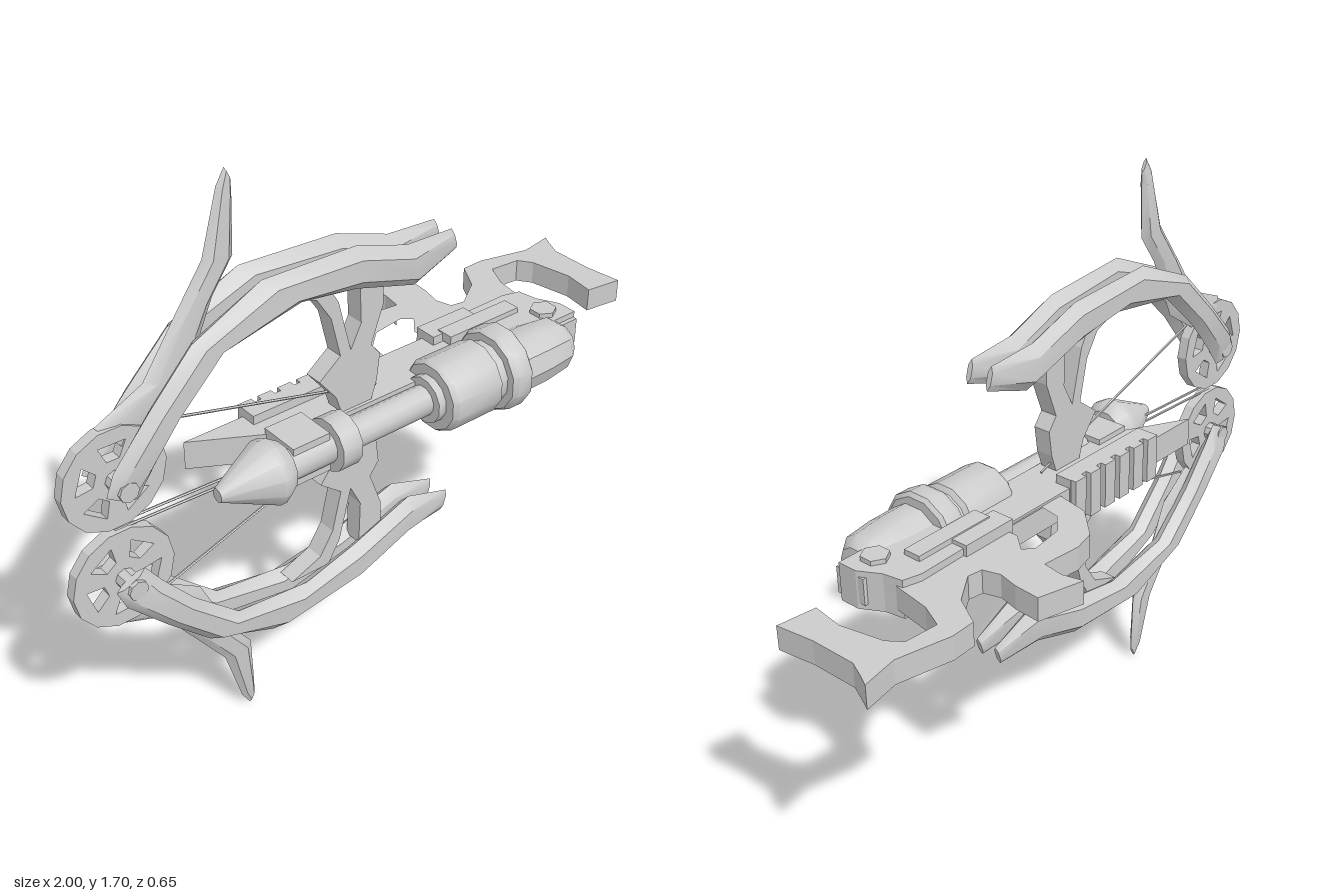
import * as THREE from 'three';
import { toCreasedNormals } from 'three/addons/utils/BufferGeometryUtils.js';

const MID = 0.852; // height of the mirror plane
const AXIS_Z = 0.195; // depth of the barrel axis
const mat = new THREE.MeshStandardMaterial({ color: 0xcccccc, flatShading: true });
const smooth = new THREE.MeshStandardMaterial({ color: 0xcccccc });

function add(parent, name, geo, material = mat) {
  const mesh = new THREE.Mesh(geo, material);
  mesh.name = name;
  parent.add(mesh);
  return mesh;
}

function outline(pts, flip = 1) {
  return new THREE.Shape(pts.map(([a, b]) => new THREE.Vector2(a, b * flip)));
}

// plate drawn in x/z, extruded evenly above and below the mirror plane
function flatPlate(pts, half, holes = []) {
  const shape = outline(pts, -1);
  shape.holes = holes.map((h) => outline(h, -1));
  const geo = new THREE.ExtrudeGeometry(shape, { depth: half * 2, bevelEnabled: false });
  return geo.rotateX(-Math.PI / 2).translate(0, MID - half, 0);
}

// plate drawn in x/y, extruded from z0 to z1
function uprightPlate(shape, z0, z1) {
  return new THREE.ExtrudeGeometry(shape, { depth: z1 - z0, bevelEnabled: false }).translate(0, 0, z0);
}

function box(x0, x1, half, z0, z1) {
  return new THREE.BoxGeometry(x1 - x0, half * 2, z1 - z0).translate((x0 + x1) / 2, MID, (z0 + z1) / 2);
}

// six-sided blade; each station is [outerX, outerY, innerX, innerY, z, halfDepth]
function blade(stations) {
  const pos = [], idx = [], n = 6;
  const ring = [[0, 0], [0.25, 1], [0.75, 1], [1, 0], [0.75, -1], [0.25, -1]];
  for (const [ox, oy, ix, iy, z, d] of stations)
    for (const [t, s] of ring) pos.push(ox + (ix - ox) * t, oy + (iy - oy) * t, z + s * d);
  const last = (stations.length - 1) * n;
  for (let i = 0; i < last; i += n)
    for (let j = 0; j < n; j++) {
      const a = i + j, b = i + ((j + 1) % n);
      idx.push(a, a + n, b, b, a + n, b + n);
    }
  for (let j = 1; j < n - 1; j++) idx.push(0, j, j + 1, last, last + j + 1, last + j);
  const geo = new THREE.BufferGeometry();
  geo.setAttribute('position', new THREE.Float32BufferAttribute(pos, 3));
  geo.setIndex(idx);
  return toCreasedNormals(geo, 0.6);
}

function rod(from, to, r, sides) {
  const a = new THREE.Vector3(...from), b = new THREE.Vector3(...to);
  const dir = b.clone().sub(a);
  const geo = new THREE.CylinderGeometry(r, r, dir.length(), sides);
  geo.applyQuaternion(new THREE.Quaternion().setFromUnitVectors(new THREE.Vector3(0, 1, 0), dir.normalize()));
  return geo.translate(...a.add(b).multiplyScalar(0.5).toArray());
}

function wheelShape(cx, cy) {
  const at = (r, a) => [cx + r * Math.cos(a), cy + r * Math.sin(a)];
  const rim = [];
  for (let i = 0; i < 14; i++) rim.push(at(0.148, (i / 14) * Math.PI * 2));
  const shape = outline(rim);
  for (let i = 0; i < 5; i++) {
    const a = (i / 5) * Math.PI * 2 + 0.3;
    shape.holes.push(outline([at(0.06, a - 0.3), at(0.11, a - 0.36), at(0.11, a + 0.36), at(0.06, a + 0.3)]));
  }
  return shape;
}

function buildBowHalf() {
  const half = new THREE.Group();

  // paired limbs, from the rear tip forward to the wheel
  const curve = [
    [0.225, 1.325, 0.245, 1.26, 0.008], [0.06, 1.335, 0.09, 1.205, 0.03],
    [-0.115, 1.395, -0.115, 1.27, 0.03], [-0.42, 1.41, -0.3, 1.305, 0.03],
    [-0.635, 1.315, -0.54, 1.27, 0.03], [-0.77, 1.18, -0.68, 1.14, 0.028],
    [-0.88, 1.06, -0.77, 1.03, 0.026], [-0.905, 1.0, -0.82, 0.96, 0.01],
  ];
  const limb = (zBack, zFront) => blade(curve.map(([ox, oy, ix, iy, d]) =>
    [ox, oy, ix, iy, zBack + (zFront - zBack) * (0.24 - ox) / 1.14, d]));
  add(half, 'backLimb', limb(0.078, 0.088), smooth);
  add(half, 'frontLimb', limb(0.148, 0.203), smooth);

  // swept fin between the limbs
  add(half, 'fin', blade([
    [-0.475, 1.702, -0.457, 1.665, 0.124, 0.005], [-0.5, 1.66, -0.457, 1.62, 0.124, 0.012],
    [-0.55, 1.485, -0.462, 1.47, 0.124, 0.018], [-0.64, 1.36, -0.527, 1.38, 0.126, 0.018],
    [-0.74, 1.22, -0.62, 1.18, 0.13, 0.018], [-0.885, 1.158, -0.8, 1.06, 0.138, 0.014],
  ]), smooth);

  // spoked wheel and its axle
  add(half, 'wheel', uprightPlate(wheelShape(-0.853, 1.005), 0.125, 0.157));
  add(half, 'wheelAxle', rod([-0.853, 1.005, 0.07], [-0.853, 1.005, 0.225], 0.028, 8));

  // forked bracket holding the limbs
  add(half, 'limbBracket', uprightPlate(outline([
    [-0.33, 1.31], [-0.2, 1.31], [-0.16, 1.24], [-0.12, 1.08], [-0.085, 1.15], [-0.09, 1.29],
    [-0.01, 1.27], [-0.01, 1.18], [-0.05, 1.07], [-0.02, 1.03], [-0.03, 0.95], [-0.06, 0.86],
    [-0.14, 0.86], [-0.17, 0.95], [-0.225, 1.02], [-0.155, 1.075], [-0.185, 1.2], [-0.23, 1.27],
  ]), 0.095, 0.15));

  // strings
  add(half, 'string', rod([-0.72, 1.11, 0.14], [0.0, 0.905, 0.11], 0.004, 5));
  add(half, 'frontString', rod([-0.86, 0.862, 0.141], [-0.45, 0.862, 0.16], 0.004, 5));
  return half;
}

export function createModel() {
  const model = new THREE.Group();
  model.name = 'bowWeapon';

  const upper = buildBowHalf();
  upper.name = 'upperBow';
  const lower = upper.clone();
  lower.name = 'lowerBow';
  lower.scale.y = -1;
  lower.position.y = 2 * MID;
  model.add(upper, lower);

  // turned barrel with cone, collars and drum: [radius, x]
  const profile = [
    [0, -0.59], [0.02, -0.59], [0.092, -0.44], [0.092, -0.42], [0.07, -0.385], [0.05, -0.385],
    [0.05, -0.24], [0.078, -0.24], [0.078, -0.175], [0.045, -0.175], [0.045, 0.1], [0.07, 0.1],
    [0.07, 0.125], [0.1, 0.125], [0.11, 0.14], [0.11, 0.3], [0.095, 0.31], [0.095, 0.335],
    [0.118, 0.335], [0.127, 0.35], [0.127, 0.4], [0.115, 0.41], [0, 0.41],
  ].map(([r, x]) => new THREE.Vector2(r, x));
  const barrel = new THREE.LatheGeometry(profile, 12, Math.PI / 12).rotateZ(-Math.PI / 2);
  add(model, 'barrel', toCreasedNormals(barrel.translate(0, MID, AXIS_Z), 0.6), smooth);
  add(model, 'barrelClamp', box(-0.37, -0.25, 0.06, 0.1, 0.225));

  // spine with a wedge nose
  add(model, 'spine', flatPlate([[-0.56, 0], [0.45, 0], [0.45, 0.16], [-0.3, 0.16], [-0.38, 0.1], [-0.47, 0.05]], 0.043));

  // accessory rail with raised ribs
  add(model, 'rail', box(-0.37, 0.005, 0.07, -0.004, 0.05));
  for (let i = 0; i < 6; i++) {
    const x = -0.37 + i * 0.0655;
    add(model, 'railRib', box(x, x + 0.045, 0.07, -0.022, 0));
  }

  // rear housing
  add(model, 'housing', flatPlate([
    [0.4, -0.01], [0.6, -0.015], [0.655, 0.0], [0.665, 0.06], [0.7, 0.125], [0.7, 0.187], [0.4, 0.187],
  ], 0.058));
  add(model, 'housingTail', box(0.6, 0.698, 0.04, 0.1, 0.2));
  add(model, 'rearBlock', box(0.265, 0.445, 0.07, -0.022, 0.05));
  for (const s of [-1, 1]) {
    add(model, 'sideBar', box(0.3, 0.565, 0.014, 0.03, 0.085).translate(0, s * 0.06, 0));
    const bolt = new THREE.CylinderGeometry(0.04, 0.04, 0.02, 6);
    add(model, 'hexBolt', bolt.translate(0.625, MID + s * 0.062, 0.13));
  }

  // rounded pod behind the drum
  const pod = [[0, 0.4], [0.1, 0.4], [0.098, 0.5], [0.088, 0.59], [0.06, 0.625], [0, 0.63]]
    .map(([r, x]) => new THREE.Vector2(r, x));
  const podGeo = new THREE.LatheGeometry(pod, 10).rotateZ(-Math.PI / 2).scale(1, 0.9, 1);
  add(model, 'rearPod', toCreasedNormals(podGeo.translate(0, MID, 0.207), 0.6), smooth);

  // trigger guard, grip and shoulder stock in one flat plate
  add(model, 'gripAndStock', flatPlate([
    [0.04, 0.02], [0.065, -0.105], [0.15, -0.195], [0.22, -0.212], [0.34, -0.2], [0.35, -0.265],
    [0.335, -0.328], [0.47, -0.29], [0.465, -0.21], [0.45, -0.147], [0.465, -0.095], [0.51, -0.088],
    [0.6, -0.15], [0.65, -0.24], [0.725, -0.243], [0.885, -0.205], [0.995, -0.225], [0.975, -0.185],
    [0.955, -0.14], [0.955, 0], [0.97, 0.115], [0.855, 0.1], [0.87, 0], [0.845, -0.13],
    [0.815, -0.172], [0.715, -0.18], [0.68, -0.105], [0.66, 0.02],
  ], 0.036, [[
    [0.125, -0.005], [0.135, -0.065], [0.19, -0.115], [0.295, -0.13], [0.325, -0.105], [0.28, -0.05], [0.28, -0.005],
  ]]));

  return model;
}
